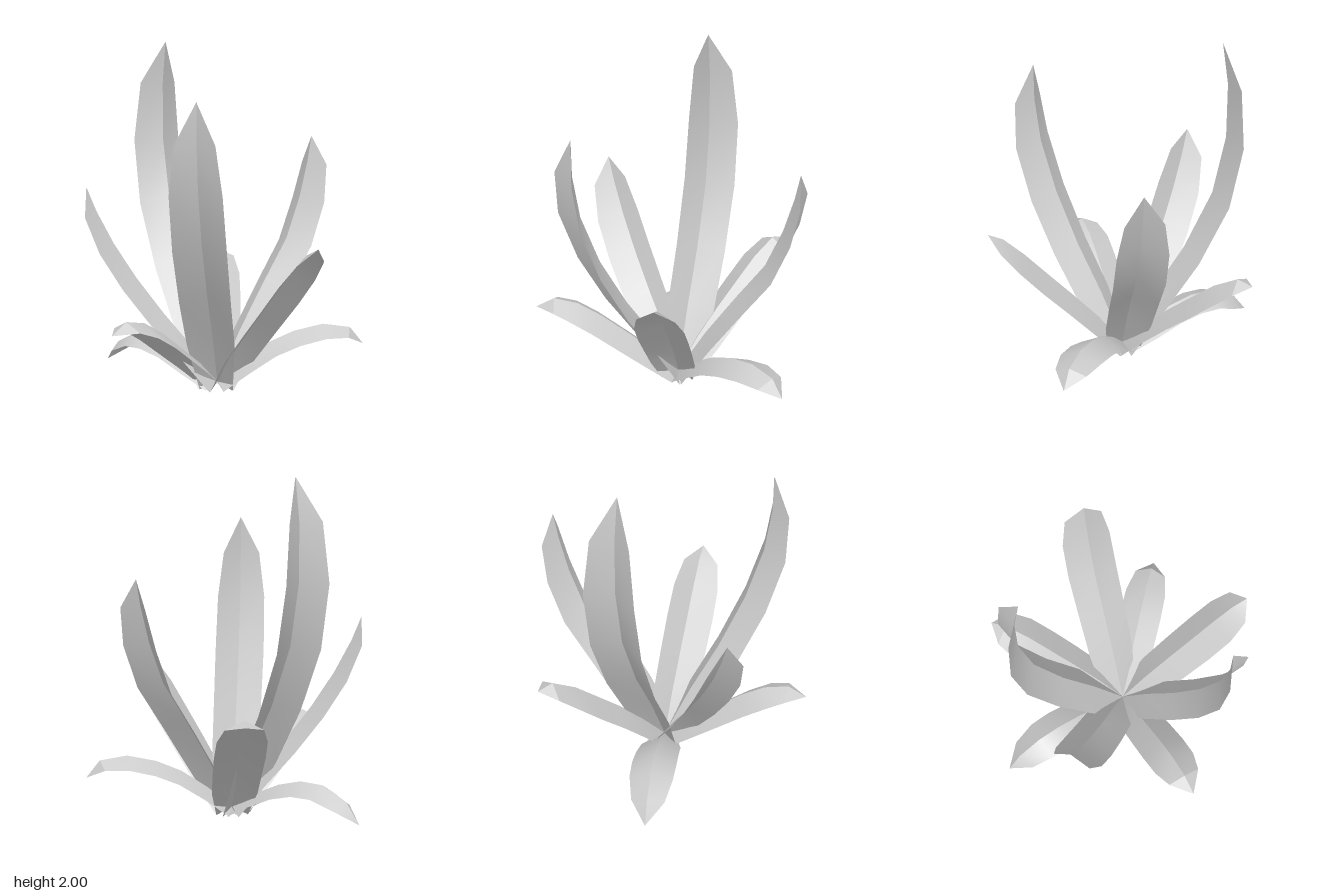
import * as THREE from 'three';
import { toCreasedNormals } from 'three/addons/utils/BufferGeometryUtils.js';

// Shared leaf outline: share of the half width at each row, from base to tip
const TAPER = [0.65, 0.92, 0.97, 1, 0.97, 0.74, 0];

// Folded blade along +z: a raised ridge with an edge hanging off each side.
// bend lists the upper ridge as [distance from centre, height], ending at the tip.
function leafGeometry(half, bend) {
  const root = [0, 0.04];
  const lower = [bend[0][0] * 0.48, bend[0][1] * 0.5 + 0.03];
  const ridge = [root, lower, ...bend];
  const last = ridge.length - 1;
  const fold = half * 0.5;
  const positions = [];
  const index = [];

  ridge.forEach(([r, y], i) => {
    const before = ridge[Math.max(i - 1, 0)];
    const after = ridge[Math.min(i + 1, last)];
    const dr = after[0] - before[0];
    const dy = after[1] - before[1];
    const drop = (fold * TAPER[i]) / Math.hypot(dr, dy);
    const w = half * TAPER[i];
    const edgeY = i === 0 ? 0 : y - drop * dr; // the base stands on the ground
    const edgeZ = r + drop * dy;
    positions.push(-w, edgeY, edgeZ, 0, y, r, w, edgeY, edgeZ);
  });

  for (let i = 0; i < last; i++) {
    for (const side of [0, 1]) {
      const a = i * 3 + side;
      if (i === last - 1) index.push(a, last * 3 + 1, a + 1); // pointed tip
      else index.push(a, a + 3, a + 1, a + 1, a + 3, a + 4);
    }
  }

  const geometry = new THREE.BufferGeometry();
  geometry.setAttribute('position', new THREE.Float32BufferAttribute(positions, 3));
  geometry.setIndex(index);
  return toCreasedNormals(geometry, 0.6);
}

export function createModel() {
  const plant = new THREE.Group();
  plant.name = 'plant';
  const material = new THREE.MeshStandardMaterial({ color: 0xcccccc, side: THREE.DoubleSide });

  // Every leaf grows from one root point and turns towards (dx, dz)
  function addLeaf(name, dx, dz, half, bend) {
    const leaf = new THREE.Mesh(leafGeometry(half, bend), material);
    leaf.name = name;
    leaf.position.set(-0.06, 0, 0.06);
    leaf.rotation.y = Math.atan2(dx, dz);
    plant.add(leaf);
  }

  // Tall upright leaves
  addLeaf('backTallLeaf', -0.24, -0.51, 0.16,
    [[0.37, 0.7], [0.53, 1.06], [0.6, 1.42], [0.6, 1.75], [0.564, 2]]);
  addLeaf('frontTallLeaf', -0.19, 0.6, 0.15,
    [[0.34, 0.62], [0.5, 0.93], [0.61, 1.24], [0.65, 1.5], [0.65, 1.72]]);
  addLeaf('backLeftLeaf', 0.62, -0.35, 0.15,
    [[0.35, 0.6], [0.52, 0.84], [0.62, 1.08], [0.68, 1.29], [0.71, 1.44]]);
  addLeaf('rightLeaf', -0.74, -0.16, 0.148,
    [[0.31, 0.44], [0.47, 0.65], [0.6, 0.85], [0.7, 1.04], [0.757, 1.18]]);

  // Slanting leaves
  addLeaf('frontLeftLeaf', 0.46, 0.66, 0.145,
    [[0.31, 0.44], [0.46, 0.61], [0.59, 0.76], [0.71, 0.88], [0.8, 0.925]]);
  addLeaf('backLeaf', 0.11, -0.83, 0.145,
    [[0.31, 0.37], [0.46, 0.5], [0.6, 0.62], [0.745, 0.705], [0.84, 0.68]]);
  addLeaf('frontRightLeaf', -0.65, 0.55, 0.135,
    [[0.31, 0.3], [0.46, 0.41], [0.6, 0.49], [0.74, 0.52], [0.85, 0.46]]);

  // Low drooping leaves
  addLeaf('leftDroopingLeaf', 0.86, 0.04, 0.13,
    [[0.3, 0.27], [0.45, 0.335], [0.62, 0.373], [0.78, 0.35], [0.86, 0.25]]);
  addLeaf('backRightDroopingLeaf', -0.6, -0.61, 0.13,
    [[0.32, 0.215], [0.47, 0.255], [0.62, 0.25], [0.77, 0.17], [0.855, 0.05]]);

  return plant;
}
